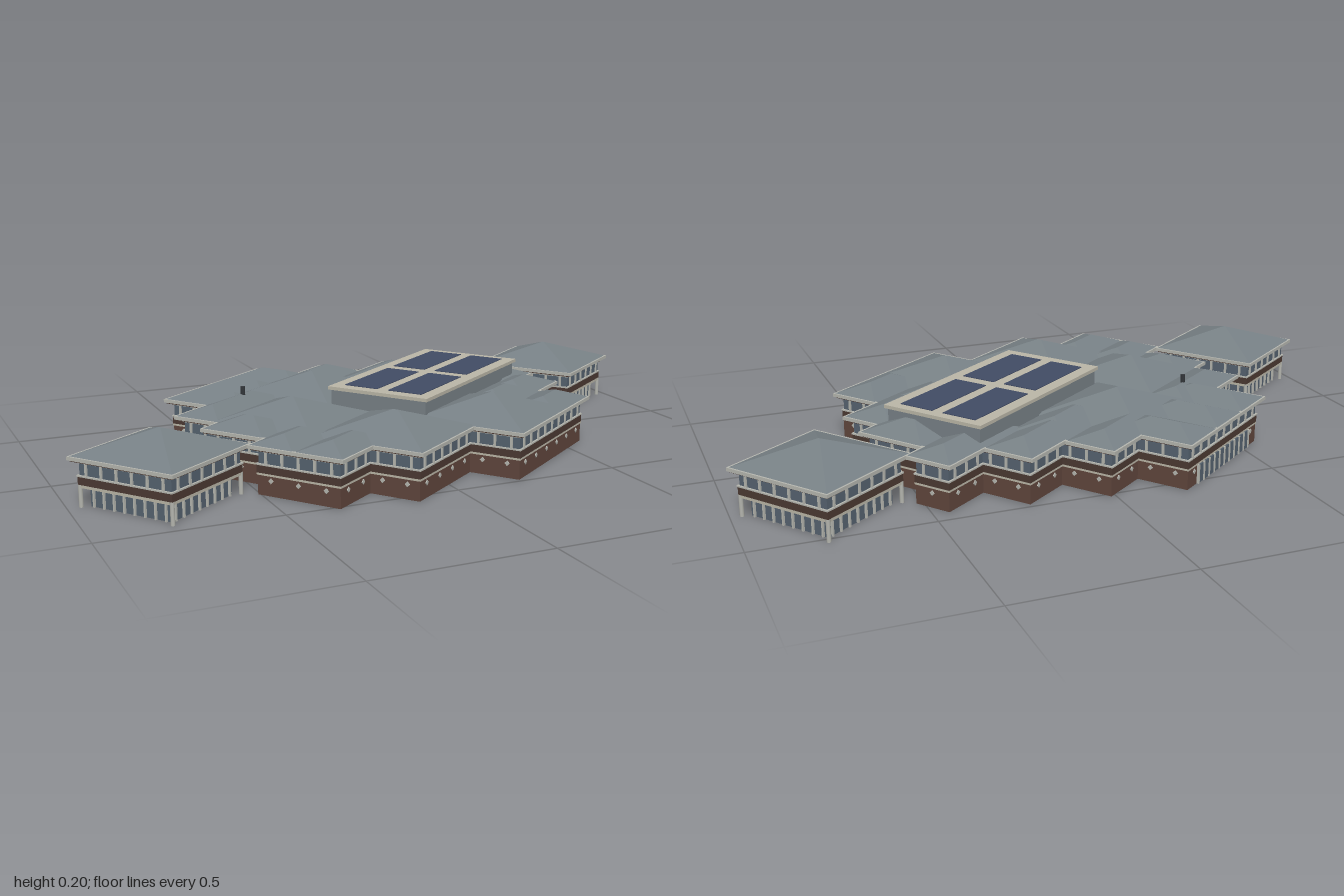
import * as THREE from 'three';
import { mergeGeometries } from 'three/addons/utils/BufferGeometryUtils.js';

const mat = (name, color, side = THREE.FrontSide) => {
  const m = new THREE.MeshStandardMaterial({ color, side });
  m.name = name;
  return m;
};

export function createModel() {
  const slate = mat('slate roof', 0x778085, THREE.DoubleSide);
  const brick = mat('brick', 0x5f453c);
  const darkBrick = mat('dark brick band', 0x4b3932);
  const glass = mat('window glass', 0x55626f);
  const trim = mat('pale trim', 0xb4b5ae);
  const frameMat = mat('skylight frame', 0xb9b5a6);
  const panelMat = mat('skylight panel', 0x414b64);
  const red = mat('red slide', 0xb0352a);
  const dark = mat('dark metal', 0x33363a);

  const model = new THREE.Group();
  const building = new THREE.Group();
  building.name = 'building';
  building.rotation.y = Math.PI / 5; // the plan stands diagonally
  model.add(building);

  const add = (name, geo, material) => {
    const m = new THREE.Mesh(geo, material);
    m.name = name;
    building.add(m);
    return m;
  };
  const boxGeo = (x0, x1, y0, y1, z0, z1) =>
    new THREE.BoxGeometry(x1 - x0, y1 - y0, z1 - z0)
      .translate((x0 + x1) / 2, (y0 + y1) / 2, (z0 + z1) / 2);

  // Moves a right-angled outline outwards by d
  const offset = (pts, d) => pts.map((p, i) => {
    const a = pts[(i + pts.length - 1) % pts.length], b = pts[(i + 1) % pts.length];
    const n = (s, e) => [Math.sign(e[1] - s[1]), -Math.sign(e[0] - s[0])];
    const n1 = n(a, p), n2 = n(p, b);
    return [p[0] + d * (n1[0] + n2[0]), p[1] + d * (n1[1] + n2[1])];
  });
  // Hollow band that follows an outline between two heights
  const band = (name, pts, outer, thick, y0, y1, material) => {
    const v2 = (l) => l.map((p) => new THREE.Vector2(p[0], p[1]));
    const shape = new THREE.Shape(v2(offset(pts, outer)));
    shape.holes.push(new THREE.Path(v2(offset(pts, outer - thick))));
    const g = new THREE.ExtrudeGeometry(shape, { depth: y1 - y0, bevelEnabled: false });
    add(name, g.rotateX(Math.PI / 2).translate(0, y1, 0), material);
  };
  // Calls fn at even steps along every edge of an outline
  const along = (pts, step, fn) => pts.forEach((p, i) => {
    const q = pts[(i + 1) % pts.length];
    const len = Math.hypot(q[0] - p[0], q[1] - p[1]);
    const n = Math.max(1, Math.round(len / step));
    const angle = Math.atan2(q[0] - p[0], q[1] - p[1]) - Math.PI / 2;
    for (let k = 0; k < n; k++) {
      const t = (k + 0.5) / n;
      fn(p[0] + (q[0] - p[0]) * t, p[1] + (q[1] - p[1]) * t, angle);
    }
  });
  const posts = (name, pts, step, w, y0, y1, material) => {
    const list = [];
    along(pts, step, (x, z, a) => list.push(
      new THREE.BoxGeometry(w, y1 - y0, 0.007).rotateY(a).translate(x, (y0 + y1) / 2, z)));
    add(name, mergeGeometries(list), material);
  };

  // Hipped roof with one constant slope
  const EAVE = 0.138, SLOPE = 0.375;
  const hip = (name, [x0, x1, z0, z1]) => {
    const r = Math.min(x1 - x0, z1 - z0) / 2, y = EAVE + r * SLOPE;
    const longX = x1 - x0 > z1 - z0;
    const a = [x0 + r, y, z0 + r], b = [x1 - r, y, z1 - r];
    const c = [[x0, EAVE, z0], [x0, EAVE, z1], [x1, EAVE, z1], [x1, EAVE, z0]];
    const quad = (p, q, s, t) => [...p, ...q, ...s, ...p, ...s, ...t];
    const pos = longX
      ? [...quad(c[1], c[2], b, a), ...quad(c[3], c[0], a, b), ...c[0], ...c[1], ...a, ...c[2], ...c[3], ...b]
      : [...quad(c[0], c[1], b, a), ...quad(c[2], c[3], a, b), ...c[1], ...c[2], ...b, ...c[3], ...c[0], ...a];
    const g = new THREE.BufferGeometry();
    g.setAttribute('position', new THREE.Float32BufferAttribute(pos, 3));
    g.computeVertexNormals();
    add(name, g, slate);
  };

  const main = [
    [-0.31, -0.585], [0.185, -0.585], [0.185, -0.43], [0.335, -0.43], [0.335, -0.273],
    [0.498, -0.273], [0.498, -0.12], [0.655, -0.12], [0.655, 0.03], [0.58, 0.03],
    [0.58, 0.25], [0.505, 0.25], [0.505, 0.37], [0.36, 0.37], [0.36, 0.532],
    [-0.147, 0.532], [-0.147, 0.38], [-0.455, 0.38], [-0.455, 0.229], [-0.61, 0.229],
    [-0.61, -0.07], [-0.535, -0.07], [-0.535, -0.28], [-0.46, -0.28], [-0.46, -0.43], [-0.31, -0.43],
  ];
  const rect = (x0, x1, z0, z1) => [[x0, z0], [x1, z0], [x1, z1], [x0, z1]];
  const wings = { rightWing: [0.628, 0.967, 0.025, 0.368], leftWing: [-0.927, -0.588, -0.414, -0.07] };

  // Upper storey and eaves, shared by the main block and both wings
  const upper = (name, pts) => {
    band(name + 'BrickBand', pts, -0.018, 0.006, 0.062, 0.084, darkBrick);
    band(name + 'Sill', pts, -0.016, 0.008, 0.084, 0.088, trim);
    band(name + 'UpperWindows', pts, -0.022, 0.004, 0.088, 0.121, glass);
    band(name + 'WindowHead', pts, -0.018, 0.008, 0.121, 0.126, trim);
    band(name + 'Soffit', pts, -0.006, 0.02, 0.126, 0.13, darkBrick);
    band(name + 'Gutter', pts, 0, 0.01, 0.13, 0.14, trim);
    posts(name + 'Mullions', offset(pts, -0.021), 0.05, 0.007, 0.088, 0.121, trim);
  };

  // Main block ground floor
  upper('main', main);
  band('brickWall', main, -0.02, 0.006, 0, 0.056, brick);
  band('stringCourse', main, -0.018, 0.007, 0.056, 0.062, frameMat);
  const ornaments = [];
  along(offset(main, -0.0195), 0.075, (x, z, a) => ornaments.push(
    new THREE.BoxGeometry(0.011, 0.011, 0.004).rotateZ(Math.PI / 4).rotateY(a).translate(x, 0.043, z)));
  add('wallOrnaments', mergeGeometries(ornaments), trim);

  // Glazed entrance on the back
  add('entranceGlass', boxGeo(-0.23, 0.105, 0, 0.054, -0.569, -0.562), glass);
  for (let i = 0; i <= 10; i++) {
    const x = -0.23 + i * 0.0335;
    add('entrancePost', boxGeo(x - 0.003, x + 0.003, 0, 0.056, -0.572, -0.562), trim);
  }

  // Wings on glazed ground floors
  for (const [name, r] of Object.entries(wings)) {
    const pts = rect(...r);
    upper(name, pts);
    band(name + 'GroundGlass', pts, -0.04, 0.004, 0, 0.056, glass);
    band(name + 'Beam', pts, -0.018, 0.03, 0.054, 0.062, frameMat);
    posts(name + 'GroundPosts', offset(pts, -0.037), 0.034, 0.005, 0, 0.056, trim);
    for (const [x, z] of offset(pts, -0.022))
      add(name + 'CornerColumn', new THREE.CylinderGeometry(0.006, 0.006, 0.062, 8).translate(x, 0.031, z), trim);
    hip(name + 'Roof', r);
  }

  // Large hipped roofs
  [[-0.165, 0.19, -0.43, -0.08], [-0.46, -0.13, -0.3, 0.04],
    [-0.455, -0.12, 0.03, 0.38], [-0.147, 0.2, 0.18, 0.532]].forEach((r) => hip('largeRoof', r));
  // Small hipped roofs that run into the large ones
  [[-0.31, -0.145, -0.585, -0.3], [-0.145, 0.02, -0.585, -0.33], [0.02, 0.185, -0.585, -0.33],
    [0, 0.335, -0.43, -0.273], [0.05, 0.335, -0.273, -0.1], [0.2, 0.498, -0.273, -0.115],
    [0.3, 0.655, -0.12, 0.03], [0.38, 0.58, 0.03, 0.25], [0.25, 0.505, 0.2, 0.37],
    [0.1, 0.36, 0.37, 0.532], [0.1, 0.36, 0.2, 0.37], [-0.61, -0.35, 0.075, 0.229],
    [-0.61, -0.38, -0.07, 0.075], [-0.535, -0.35, -0.28, -0.07], [-0.46, -0.1, -0.43, -0.27],
  ].forEach((r) => hip('smallRoof', r));

  // Raised skylight
  const sky = rect(-0.137, 0.494, -0.105, 0.225);
  band('skylightWall', sky, -0.008, 0.005, 0.13, 0.192, slate);
  add('skylightFrame', boxGeo(-0.137, 0.494, 0.19, 0.2, -0.105, 0.225), frameMat);
  for (const [x0, x1] of [[-0.1, 0.163], [0.202, 0.465]])
    for (const [z0, z1] of [[-0.068, 0.042], [0.078, 0.188]]) {
      add('skylightPanel', boxGeo(x0, x1, 0.198, 0.202, z0, z1), panelMat);
      add('skylightUnderside', boxGeo(x0, x1, 0.188, 0.191, z0, z1), panelMat);
    }

  // Roof vent
  add('vent', new THREE.CylinderGeometry(0.007, 0.007, 0.045, 8).translate(-0.229, 0.168, -0.348), dark);

  // Escape slide from the upper storey
  const slide = new THREE.Group();
  slide.name = 'slide';
  slide.position.set(0.592, 0.034, 0.295);
  slide.rotation.x = Math.atan2(0.062, 0.13);
  for (const [x, w, h] of [[0, 0.026, 0.006], [-0.013, 0.004, 0.016], [0.013, 0.004, 0.016]]) {
    const m = new THREE.Mesh(new THREE.BoxGeometry(w, h, 0.14).translate(x, h / 2, 0), red);
    m.name = 'slidePart';
    slide.add(m);
  }
  building.add(slide);
  return model;
}
